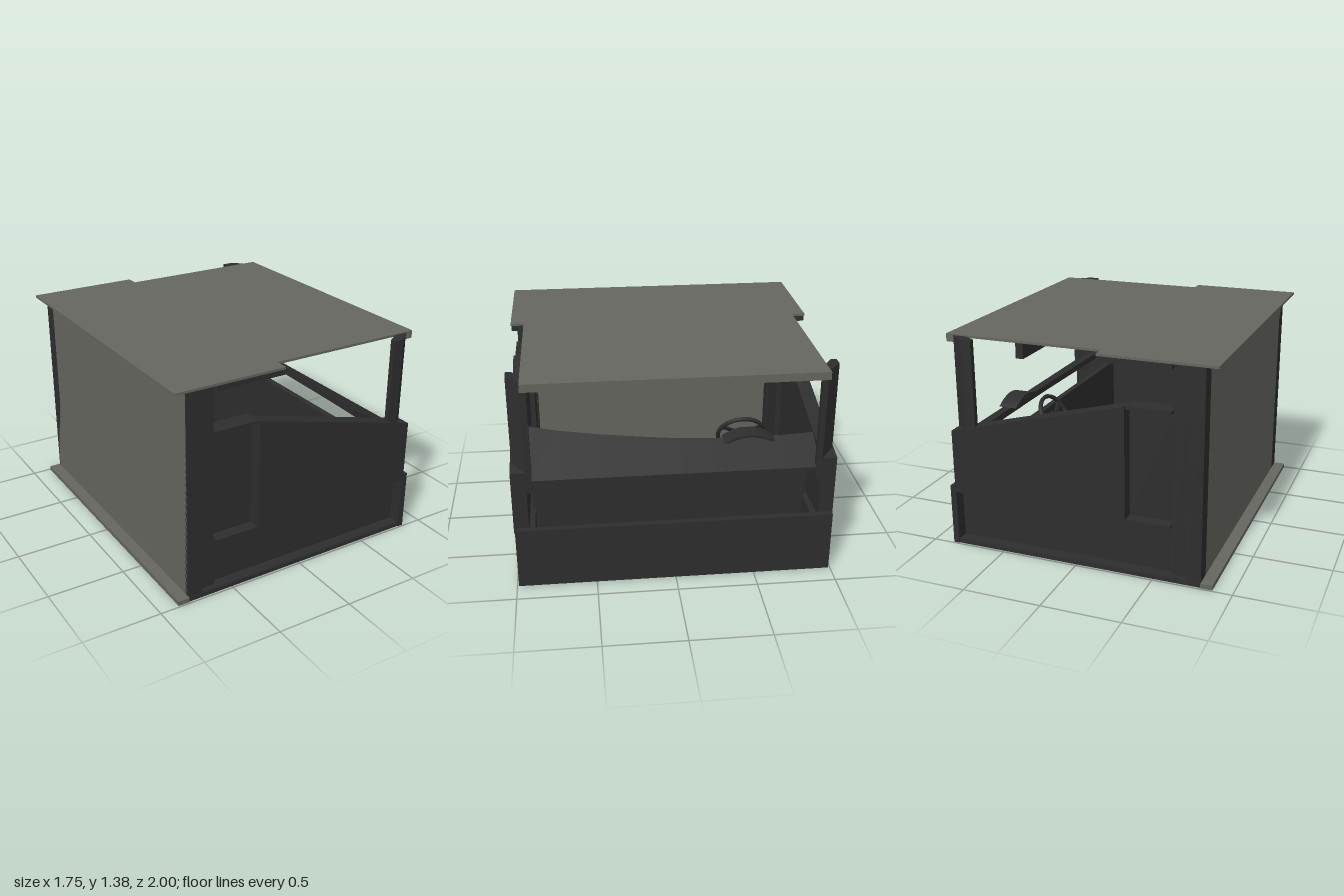
import * as THREE from 'three';

const dark = new THREE.MeshStandardMaterial({ color: 0x2e2e2e });
dark.name = 'charcoal trim';
const light = new THREE.MeshStandardMaterial({ color: 0x666660 });
light.name = 'grey shell';

export function createModel() {
  const model = new THREE.Group();
  model.name = 'vehicleCab';

  const add = (name, geometry, material = dark) => {
    const mesh = new THREE.Mesh(geometry, material);
    mesh.name = name;
    model.add(mesh);
    return mesh;
  };
  // Box given by its limits on each axis
  const box = (name, x0, x1, y0, y1, z0, z1, material) => {
    const g = new THREE.BoxGeometry(x1 - x0, y1 - y0, Math.abs(z1 - z0));
    return add(name, g.translate((x0 + x1) / 2, (y0 + y1) / 2, (z0 + z1) / 2), material);
  };
  const shapeOf = (pts) => new THREE.Shape(pts.map(([a, b]) => new THREE.Vector2(a, b)));
  // Outline in x and z, raised from y0 to y1
  const column = (name, pts, y0, y1, material) => {
    const g = new THREE.ExtrudeGeometry(shapeOf(pts.map(([x, z]) => [x, -z])), { depth: y1 - y0, bevelEnabled: false });
    return add(name, g.rotateX(-Math.PI / 2).translate(0, y0, 0), material);
  };
  // Outline in x and y, from z0 to z1
  const slab = (name, pts, z0, z1, material) => {
    const g = new THREE.ExtrudeGeometry(shapeOf(pts), { depth: Math.abs(z1 - z0), bevelEnabled: false });
    return add(name, g.translate(0, 0, Math.min(z0, z1)), material);
  };

  // Floor, rear sill and front panel
  box('floor', -0.8, 0.83, 0.012, 0.03, -0.98, 0.98);
  box('rearSill', -0.875, -0.8, 0, 0.03, -0.99, 0.99, light);
  box('frontPanel', 0.825, 0.865, 0, 0.4, -0.99, 0.99);
  box('firewall', 0.5, 0.54, 0.03, 0.74, -0.89, 0.89);

  // Back wall and stepped roof with a front lip
  box('backWall', -0.8, -0.78, 0.03, 1.36, -0.97, 0.97, light);
  column('roof', [[-0.875, -0.99], [-0.15, -0.99], [-0.15, -0.905], [0.875, -0.905],
    [0.875, 0.905], [-0.15, 0.905], [-0.15, 0.99], [-0.875, 0.99]], 1.36, 1.375, light);
  box('roofLip', 0.81, 0.875, 1.325, 1.36, -0.905, 0.905, light);
  box('roofConsole', 0.41, 0.46, 1.23, 1.36, -0.8, -0.44);

  for (const s of [1, -1]) {
    const side = s > 0 ? 'Front' : 'Back';
    // Rear pillar in two steps
    box('rearPillarOuter' + side, -0.8, -0.705, 0.03, 1.36, s * 0.88, s * 0.98);
    box('rearPillarInner' + side, -0.705, -0.605, 0.03, 1.36, s * 0.86, s * 0.945);
    box('roofRail' + side, -0.605, -0.15, 1.325, 1.36, s * 0.9, s * 0.985);

    // Door: recessed lower and rear panels, ledges, raised sloping panel
    box('sideSill' + side, -0.8, 0.83, 0, 0.025, s * 0.9, s * 0.985);
    box('lowerDoor' + side, -0.605, 0.83, 0.02, 0.365, s * 0.87, s * 0.91);
    box('rearDoorPanel' + side, -0.605, -0.325, 0.36, 1.07, s * 0.87, s * 0.91);
    box('rearLowerLedge' + side, -0.605, -0.325, 0.35, 0.365, s * 0.9, s * 0.985);
    box('rearWindowLedge' + side, -0.605, -0.325, 1.06, 1.08, s * 0.87, s * 0.985);
    slab('upperDoor' + side, [[-0.325, 0.365], [0.825, 0.365], [0.825, 0.78], [-0.325, 1.08]], s * 0.905, s * 0.998);

    // Chamfered windscreen pillar
    column('windscreenPillar' + side, [[0.66, 0.99], [0.73, 0.99], [0.825, 0.905], [0.825, 0.87],
      [0.785, 0.87], [0.66, 0.955]].map(([x, z]) => [x, s * z]), 0.64, 1.368);
  }

  // Sloping dashboard whose rear edge curves away towards the driver
  const edge = [[-0.9, 0.845], [-0.7, 0.84], [-0.25, 0.84], [-0.05, 0.845], [0.2, 0.858], [0.45, 0.873], [0.7, 0.893], [0.9, 0.915]];
  const pos = [], index = [];
  edge.forEach(([z, h]) => {
    const x = 0.815 - (h - 0.72) / 0.55;
    pos.push(0.82, 0.72, z, x, h, z, x, h - 0.04, z, 0.82, 0.7, z);
  });
  for (let i = 0; i < edge.length - 1; i++) {
    for (let j = 0; j < 4; j++) {
      const a = i * 4 + j, b = i * 4 + (j + 1) % 4;
      index.push(a, b, a + 4, b, b + 4, a + 4);
    }
  }
  const e = (edge.length - 1) * 4;
  index.push(0, 2, 1, 0, 3, 2, e, e + 1, e + 2, e, e + 2, e + 3);
  let dash = new THREE.BufferGeometry();
  dash.setAttribute('position', new THREE.Float32BufferAttribute(pos, 3));
  dash.setIndex(index);
  dash = dash.toNonIndexed();
  dash.computeVertexNormals();
  add('dashboard', dash);

  // Instrument hood: a shallow arch over the gauges
  const hood = new THREE.Shape();
  hood.moveTo(-0.16, 0);
  hood.quadraticCurveTo(-0.08, 0.05, 0, 0.05);
  hood.quadraticCurveTo(0.08, 0.05, 0.16, 0);
  hood.lineTo(0.13, 0);
  hood.quadraticCurveTo(0, 0.065, -0.13, 0);
  const hoodGeo = new THREE.ExtrudeGeometry(hood, { depth: 0.12, bevelEnabled: false, curveSegments: 8 });
  add('instrumentHood', hoodGeo.rotateY(Math.PI / 2).translate(0.56, 0.84, -0.48));

  // Steering wheel, tilted towards the driver
  const wheel = new THREE.Group();
  wheel.name = 'steeringWheel';
  const part = (name, geometry) => {
    const mesh = new THREE.Mesh(geometry, dark);
    mesh.name = name;
    wheel.add(mesh);
    return mesh;
  };
  part('wheelRim', new THREE.TorusGeometry(0.15, 0.014, 8, 28));
  part('wheelHub', new THREE.CylinderGeometry(0.045, 0.045, 0.03, 16).rotateX(Math.PI / 2));
  for (let i = 0; i < 3; i++) {
    part('wheelSpoke', new THREE.BoxGeometry(0.025, 0.13, 0.012).translate(0, 0.085, 0)).rotation.z = Math.PI + i * Math.PI * 2 / 3;
  }
  part('steeringColumn', new THREE.CylinderGeometry(0.025, 0.025, 0.22, 12).rotateX(Math.PI / 2).translate(0, 0, 0.11));
  wheel.rotation.order = 'YXZ';
  wheel.rotation.set(0.5, Math.PI / 2, 0);
  wheel.position.set(0.36, 0.75, -0.48);
  model.add(wheel);

  return model;
}
